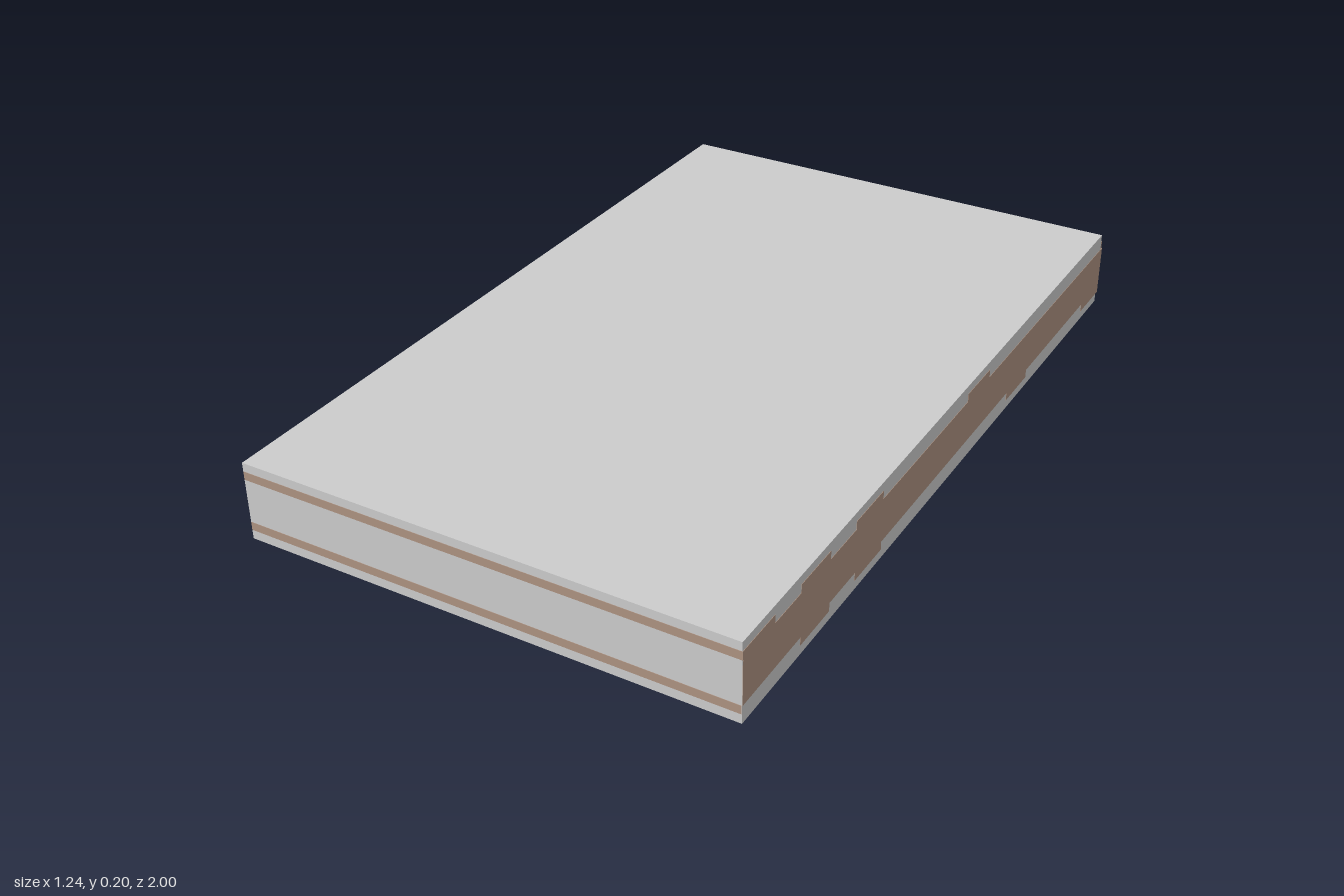
import * as THREE from 'three';

const grey = new THREE.MeshStandardMaterial({ color: 0xcccccc });
const wood = new THREE.MeshStandardMaterial({ color: 0xad9281 });
const HALF = 0.62, PROUD = 0.001;

// Box given by its limits on each axis
function block(name, material, [x0, x1], [y0, y1], [z0, z1]) {
  const mesh = new THREE.Mesh(new THREE.BoxGeometry(x1 - x0, y1 - y0, z1 - z0), material);
  mesh.position.set((x0 + x1) / 2, (y0 + y1) / 2, (z0 + z1) / 2);
  mesh.name = name;
  return mesh;
}

// Row of cross slats: [centre z, shows on +x side, shows on -x side]
function slatRow(name, yRange, slats) {
  const row = new THREE.Group();
  row.name = name;
  for (const [z, left, right] of slats) {
    const x0 = right ? -HALF - PROUD : -HALF + PROUD;
    const x1 = left ? HALF + PROUD : HALF - PROUD;
    const front = z > 0.9 ? 1 + PROUD : z + 0.065;
    row.add(block('slat', wood, [x0, x1], yRange, [z - 0.065, front]));
  }
  return row;
}

export function createModel() {
  const model = new THREE.Group();
  model.name = 'panel';

  // Filled body, stopping just short of the timber at the back
  model.add(block('body', grey, [-HALF, HALF], [0, 0.2], [-0.99, 1]));

  // Lengthwise beams; the left one is exposed along its whole side
  const beams = new THREE.Group();
  beams.name = 'beams';
  for (const [x0, x1] of [[-0.619, -0.57], [-0.025, 0.025], [0.57, HALF + PROUD]]) {
    beams.add(block('beam', wood, [x0, x1], [0.045, 0.157], [-1, 0.999]));
  }
  model.add(beams);

  // Cross slats above and below the beams
  model.add(slatRow('upperSlats', [0.157, 0.178], [
    [0.935, 1, 0], [0.695, 1, 0], [0.445, 1, 0], [0.19, 0, 1],
    [-0.145, 1, 0], [-0.405, 0, 1], [-0.695, 0, 1], [-0.935, 0, 1],
  ]));
  model.add(slatRow('lowerSlats', [0.024, 0.045], [
    [0.935, 0, 0], [0.695, 1, 0], [0.445, 1, 0], [0.19, 0, 1],
    [-0.145, 0, 1], [-0.405, 1, 0], [-0.695, 0, 1], [-0.935, 1, 0],
  ]));

  return model;
}
